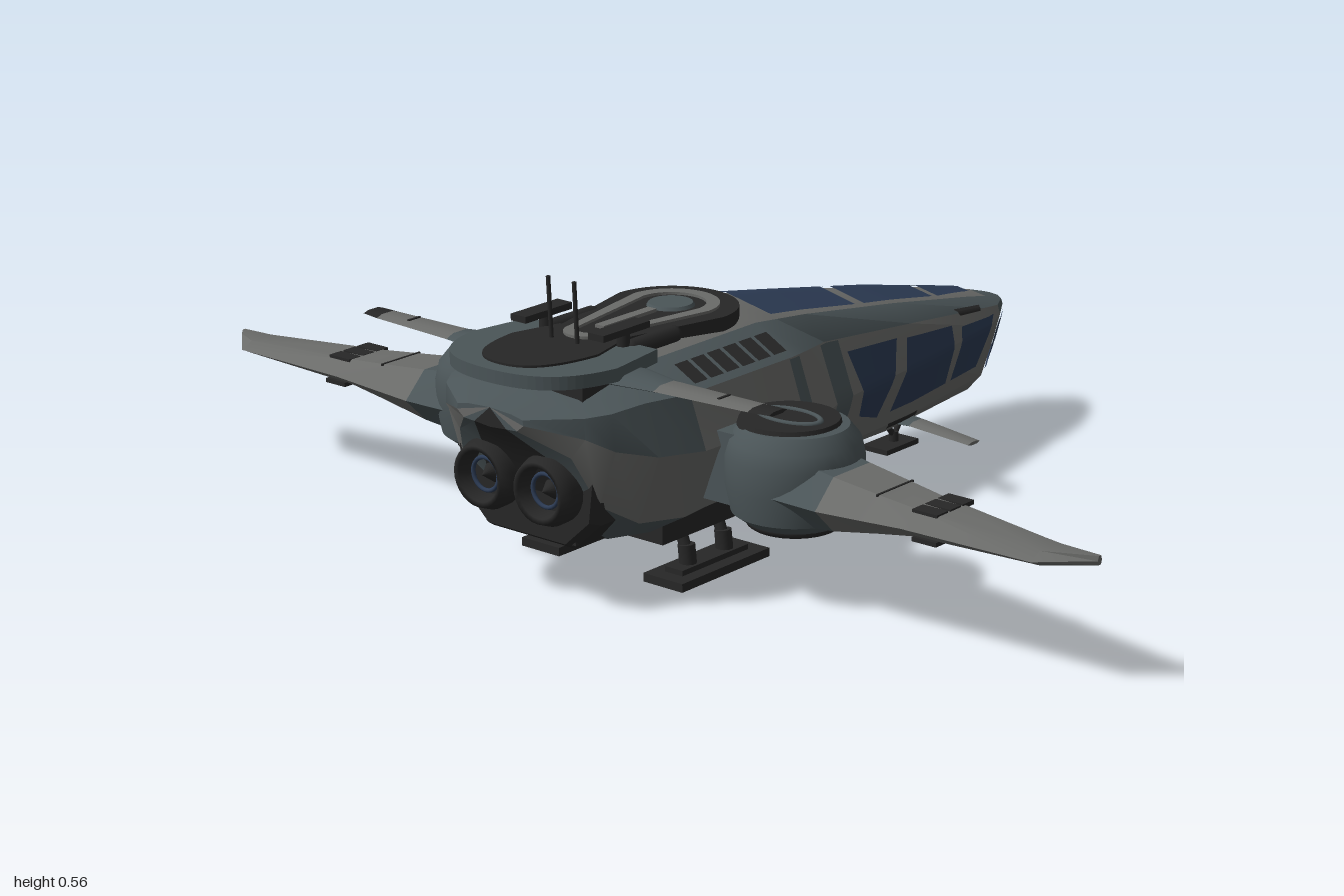
import * as THREE from 'three';
import { toCreasedNormals } from 'three/addons/utils/BufferGeometryUtils.js';

const paint = (name, color) => Object.assign(new THREE.MeshStandardMaterial({ color, side: THREE.DoubleSide }), { name });
const light = paint('light grey panel', 0x6a6b69);
const slate = paint('slate panel', 0x4b5558);
const dark = paint('dark metal', 0x272727);
const glass = paint('blue glass', 0x2c3b54);
const mats = [light, slate, dark];

// Hull stations: z, ridge y, keel y, roof half width, shoulder half width and y, waist half width and y
const stations = [
  [-0.72, .25, .238, .01, .02, .248, .022, .244],
  [-0.70, .257, .22, .025, .042, .25, .046, .24],
  [-0.65, .272, .163, .04, .07, .253, .076, .235],
  [-0.585, .29, .088, .05, .085, .264, .1, .23],
  [-0.3, .355, .08, .08, .12, .305, .143, .23],
  [0, .413, .095, .105, .15, .345, .19, .24],
  [0.1, .43, .11, .12, .19, .36, .235, .25],
  [0.17, .442, .12, .13, .215, .37, .25, .27],
  [0.45, .44, .095, .13, .215, .37, .25, .275],
  [0.55, .413, .108, .13, .2, .375, .23, .285],
  [0.62, .396, .16, .125, .185, .37, .195, .305],
  [0.66, .386, .275, .11, .16, .367, .162, .33],
  [0.72, .37, .335, .05, .075, .362, .077, .352],
];

// Half section from ridge to keel, as [x, y]
const section = ([, top, keel, wr, ws, ys, wm, ym]) => [
  [0, top], [wr, top - (top - ys) * .35], [ws, ys], [wm, ym],
  [wm * .8, keel + (ym - keel) * .27], [wm * .48, keel + .003], [0, keel],
];

// Point on the hull at profile position s (0 ridge, 6 keel, mirrored beyond) and depth z
function hullPoint(s, z) {
  let side = 1;
  if (s < 0) { s = -s; side = -1; }
  if (s > 6) { s = 12 - s; side = -side; }
  z = THREE.MathUtils.clamp(z, -0.72, 0.72);
  let j = 0;
  while (j < stations.length - 2 && stations[j + 1][0] < z) j++;
  const z0 = stations[j][0], t = (z - z0) / (stations[j + 1][0] - z0);
  const A = section(stations[j]), B = section(stations[j + 1]);
  const i = Math.min(5, Math.floor(s)), f = s - i;
  const at = (S, c) => S[i][c] * (1 - f) + S[i + 1][c] * f;
  return new THREE.Vector3(side * (at(A, 0) * (1 - t) + at(B, 0) * t), at(A, 1) * (1 - t) + at(B, 1) * t, z);
}

// Skin between closed rings, with end caps; pick(j, i) chooses the material index
function loft(rings, pick) {
  const bins = [[], [], []], n = rings[0].length, last = rings.length - 1;
  for (let j = 0; j < last; j++) for (let i = 0; i < n; i++) {
    const k = (i + 1) % n, a = rings[j][i], b = rings[j][k], c = rings[j + 1][k], d = rings[j + 1][i];
    bins[pick(j, i)].push(a, d, b, b, d, c);
  }
  for (let i = 1; i < n - 1; i++) {
    bins[pick(0, i)].push(rings[0][0], rings[0][i], rings[0][i + 1]);
    bins[pick(last - 1, i)].push(rings[last][0], rings[last][i + 1], rings[last][i]);
  }
  const g = new THREE.BufferGeometry().setFromPoints(bins.flat());
  let start = 0;
  bins.forEach((b, m) => { if (b.length) g.addGroup(start, b.length, m); start += b.length; });
  return toCreasedNormals(g, 0.5);
}

// Wing surface from [x, zLead, zTrail, yTop, yBottom] sections
function wing(sections, pick) {
  return loft(sections.map(([x, l, t, y1, y0]) => {
    const m = (y0 + y1) / 2, d = t - l, v = (y, z) => new THREE.Vector3(x, y, z);
    return [v(y1, t - d * .25), v(y1, l + d * .25), v(m, l), v(y0, l + d * .25), v(y0, t - d * .25), v(m, t)];
  }), pick);
}

// Thin plate that follows the hull; corners are [s, z]
function hullPatch(c) {
  const n = 10, pts = [], idx = [];
  const mix = (u, v, k) => (c[0][k] * (1 - u) + c[1][k] * u) * (1 - v) + (c[3][k] * (1 - u) + c[2][k] * u) * v;
  // Corners run across s first on the roof and along z first on the sides; keep both facing outward
  const flip = (c[1][0] - c[0][0]) * (c[3][1] - c[0][1]) - (c[1][1] - c[0][1]) * (c[3][0] - c[0][0]) < 0;
  for (let a = 0; a <= n; a++) for (let b = 0; b <= n; b++) {
    const s = mix(a / n, b / n, 0), z = mix(a / n, b / n, 1), e = 0.01;
    const ds = hullPoint(s + e, z).sub(hullPoint(s - e, z));
    const dz = hullPoint(s, z + e).sub(hullPoint(s, z - e));
    pts.push(hullPoint(s, z).addScaledVector(dz.cross(ds).normalize(), 0.004));
    const q = a * (n + 1) + b, r = q + n + 1;
    if (a < n && b < n) idx.push(...(flip ? [q, r, q + 1, q + 1, r, r + 1] : [q, q + 1, r, q + 1, r + 1, r]));
  }
  const g = new THREE.BufferGeometry().setFromPoints(pts).setIndex(idx);
  g.computeVertexNormals();
  return g;
}

// Flat plate in the xz plane from a shape drawn with y as z, its base at height y
function plate(shape, y, h) {
  return new THREE.ExtrudeGeometry(shape, { depth: h, bevelEnabled: false, curveSegments: 16 }).rotateX(Math.PI / 2).translate(0, y + h, 0);
}

// Keyhole outline: round head at z0 tapering to a narrow round tail at z1
function keyhole(T, z0, r0, z1, r1) {
  return new T().absarc(0, z1, r1, 0, Math.PI, false).absarc(0, z0, r0, Math.PI, Math.PI * 2, false).lineTo(r1, z1);
}

export function createModel() {
  const root = new THREE.Group();
  const add = (parent, name, geo, mat) => {
    const m = new THREE.Mesh(geo, mat);
    m.name = name;
    parent.add(m);
    return m;
  };
  const box = (p, name, mat, w, h, d, x, y, z) => add(p, name, new THREE.BoxGeometry(w, h, d).translate(x, y, z), mat);
  const beam = (p, name, mat, a, b, r) => {
    const A = new THREE.Vector3(...a), B = new THREE.Vector3(...b), d = B.clone().sub(A);
    const m = add(p, name, new THREE.CylinderGeometry(r, r, d.length(), 10), mat);
    m.position.copy(A).add(B).multiplyScalar(.5);
    m.quaternion.setFromUnitVectors(new THREE.Vector3(0, 1, 0), d.normalize());
  };

  // Fuselage: slate shoulders, nose rim and tail, light flanks, dark keel
  const rings = stations.map(([z]) => Array.from({ length: 12 }, (_, s) => hullPoint(s, z)));
  add(root, 'fuselage', loft(rings, (j, i) => {
    const k = Math.min(i, 11 - i);
    if (k === 5) return j > 2 ? 2 : 1;
    if (j < 2 || k === 1) return 1;
    if (k === 4) return j > 2 && j < 6 ? 0 : 1;
    return j > 7 && k < 3 ? 1 : 0;
  }), mats);

  // Canopy panes along the roof and the glazed chin
  [[.6, .88, -.61, -.47], [.88, .92, -.45, -.205], [.92, .88, -.175, .1]].forEach(([s0, s1, z0, z1]) =>
    add(root, 'roofWindow', hullPatch([[-s0, z0], [s0, z0], [s1, z1], [-s1, z1]]), glass));
  add(root, 'chinWindow', hullPatch([[4.7, -.69], [7.3, -.69], [7.3, -.605], [4.7, -.605]]), glass);

  // Roof deck with keyhole ring
  add(root, 'deckBase', plate(keyhole(THREE.Shape, .25, .122, .5, .06), .41, .034), dark);
  const ring = keyhole(THREE.Shape, .25, .088, .47, .043);
  ring.holes.push(keyhole(THREE.Path, .25, .064, .46, .028));
  add(root, 'deckRing', plate(ring, .442, .007), light);
  add(root, 'deckHatch', new THREE.CylinderGeometry(.04, .045, .008, 24).translate(0, .446, .25), slate);
  box(root, 'deckSpine', light, .02, .008, .14, 0, .446, .37);

  // Raised tail deck
  const tail = (w0, w, z0, z1) => new THREE.Shape().moveTo(-w0, z0).lineTo(w0, z0).lineTo(w, z1 - .14)
    .bezierCurveTo(w * .9, z1 - .04, w * .6, z1, 0, z1).bezierCurveTo(-w * .6, z1, -w * .9, z1 - .04, -w, z1 - .14);
  add(root, 'tailDeck', plate(tail(.15, .17, .46, .725), .416, .024), slate);
  add(root, 'tailDeckInset', plate(tail(.075, .1, .46, .695), .438, .006), dark);
  box(root, 'tailDeckSupport', dark, .26, .04, .16, 0, .4, .55);

  // Belly bay with hatches, and main engine block
  box(root, 'bellyBay', dark, .3, .04, .27, 0, .1, .315);
  box(root, 'bellyHatch', slate, .1, .006, .1, 0, .079, .26);
  const block = new THREE.Shape([[-.09, .12], [.09, .12], [.145, .17], [.155, .25], [.12, .295], [-.12, .295], [-.155, .25], [-.145, .17]]
    .map(p => new THREE.Vector2(...p)));
  add(root, 'engineBlock', new THREE.ExtrudeGeometry(block, { depth: .08, bevelSize: .012, bevelThickness: .02, bevelSegments: 1 })
    .translate(0, 0, .535), dark);

  // Nose landing gear
  box(root, 'noseSkid', dark, .06, .01, .1, 0, .015, -.4);
  beam(root, 'noseFoot', dark, [0, .015, -.41], [0, .04, -.41], .01);
  for (const z of [-.36, -.455]) beam(root, 'noseStrut', dark, [0, .03, -.41], [0, .09, z], .006);

  // Everything on the left, mirrored to the right
  const half = new THREE.Group();
  half.name = 'leftSide';
  [
    [[2.25, -.06], [2.25, -.235], [3.7, -.165], [3.5, -.09]],
    [[2.3, -.27], [2.35, -.44], [3.7, -.425], [3.7, -.215]],
    [[2.5, -.475], [2.5, -.61], [3.7, -.545], [3.7, -.445]],
    [[3.05, -.635], [3.15, -.69], [4.3, -.64], [4.1, -.6]],
  ].forEach(c => add(half, 'sideWindow', hullPatch(c), glass));
  add(half, 'noseVent', hullPatch([[1.8, -.47], [1.8, -.57], [2.1, -.56], [2.1, -.48]]), dark);
  add(half, 'chinVent', hullPatch([[3.95, -.22], [3.95, -.33], [4.2, -.32], [4.2, -.23]]), dark);
  add(half, 'collarBand', hullPatch([[2.02, .035], [2.02, -.04], [3.95, -.04], [3.95, .035]]), slate);
  add(half, 'bayBand', hullPatch([[2.02, .185], [2.02, .15], [3.95, .15], [3.95, .185]]), slate);
  for (let i = 0; i < 6; i++) {
    const z = .175 + i * .043;
    add(half, 'roofVent', hullPatch([[1.3, z + .034], [1.3, z], [1.85, z], [1.85, z + .034]]), dark);
  }
  box(half, 'bellyStrip', light, .03, .006, .2, .095, .079, .31);

  // Wing pod with lift fan underneath
  const pod = new THREE.Group();
  pod.name = 'wingPod';
  pod.position.set(.345, 0, .325);
  half.add(pod);
  const profile = [[0, .14], [.085, .14], [.112, .16], [.122, .21], [.122, .26], [.115, .29], [.095, .315], [0, .318]];
  add(pod, 'podShell', toCreasedNormals(new THREE.LatheGeometry(profile.map(p => new THREE.Vector2(...p)), 40), .7), slate);
  add(pod, 'podLid', new THREE.CylinderGeometry(.088, .092, .012, 32).translate(-.012, .317, 0), dark);
  add(pod, 'podLidRing', new THREE.TorusGeometry(.05, .005, 8, 28).rotateX(Math.PI / 2).scale(1.25, 1, .7).translate(-.012, .323, 0), slate);
  add(pod, 'liftFanRim', new THREE.TorusGeometry(.075, .012, 10, 32).rotateX(Math.PI / 2).translate(0, .142, 0), dark);
  add(pod, 'liftFanGlow', new THREE.CylinderGeometry(.068, .068, .006, 28).translate(0, .138, 0), glass);
  add(pod, 'liftFanHub', new THREE.CylinderGeometry(.028, .028, .01, 16).translate(0, .136, 0), dark);
  for (let i = 0; i < 3; i++)
    add(pod, 'liftFanVane', new THREE.BoxGeometry(.14, .006, .012).rotateY(i * Math.PI / 3).translate(0, .135, 0), dark);
  box(half, 'podRoot', slate, .14, .13, .17, .26, .235, .325);

  // Main wing with dark grille and panel seams
  add(half, 'mainWing', wing([
    [.38, .225, .44, .275, .155], [.48, .24, .44, .262, .165], [.58, .26, .44, .254, .185],
    [.66, .28, .44, .249, .2], [.92, .334, .436, .238, .213], [1, .35, .362, .233, .217],
  ], j => (j < 1 ? 1 : 0)), mats);
  for (let i = 0; i < 3; i++) box(half, 'wingGrille', dark, .052, .008, .03, .685, .246, .32 + i * .036);
  box(half, 'wingGrilleUnder', dark, .05, .008, .11, .69, .201, .36);
  box(half, 'wingSeam', dark, .004, .004, .1, .58, .2535, .35);

  // Tail fin and nose canard
  add(half, 'tailFin', wing([
    [.12, .48, .6, .425, .4], [.24, .505, .575, .417, .403], [.43, .503, .557, .413, .404], [.47, .502, .55, .412, .405],
  ], j => [1, 0, 2][j]), mats);
  box(half, 'tailFinSeam', dark, .005, .003, .03, .36, .415, .533);
  add(half, 'noseCanard', wing([[.08, -.345, -.275, .114, .102], [.13, -.336, -.285, .113, .103], [.285, -.3, -.263, .111, .105]],
    j => (j ? 0 : 1)), mats);

  // Main engine nozzle
  const nozzle = [[.05, .58], [.062, .6], [.064, .66], [.055, .682], [.046, .68], [.04, .645]];
  add(half, 'engineNozzle', new THREE.LatheGeometry(nozzle.map(p => new THREE.Vector2(...p)), 28).rotateX(Math.PI / 2).translate(.07, .22, 0), dark);
  add(half, 'engineGlow', new THREE.TorusGeometry(.03, .004, 8, 24).translate(.07, .22, .66), glass);
  add(half, 'engineHub', new THREE.ConeGeometry(.02, .03, 16).rotateX(Math.PI / 2).translate(.07, .22, .655), dark);
  box(half, 'lowerThruster', dark, .06, .035, .06, .075, .135, .595);

  // Aerial and deck rail
  beam(half, 'aerial', dark, [.03, .43, .53], [.03, .555, .537], .004);
  box(half, 'deckRail', dark, .035, .012, .12, .09, .47, .49);
  beam(half, 'deckRailPost', dark, [.09, .43, .48], [.09, .47, .48], .012);
  add(half, 'deckPod', new THREE.CapsuleGeometry(.016, .11, 4, 10).rotateX(Math.PI / 2).translate(.095, .432, .41), dark);

  // Main landing skid, reaching the ground
  box(half, 'mainSkid', dark, .09, .016, .24, .145, .008, .325);
  box(half, 'skidRib', dark, .04, .012, .18, .145, .02, .325);
  for (const z of [.275, .375]) {
    beam(half, 'gearFoot', dark, [.145, .016, z], [.14, .06, z], .016);
    beam(half, 'gearStrut', dark, [.14, .05, z], [.115, .11, z], .011);
  }
  root.add(half);
  const other = half.clone();
  other.name = 'rightSide';
  other.scale.x = -1;
  root.add(other);
  return root;
}
